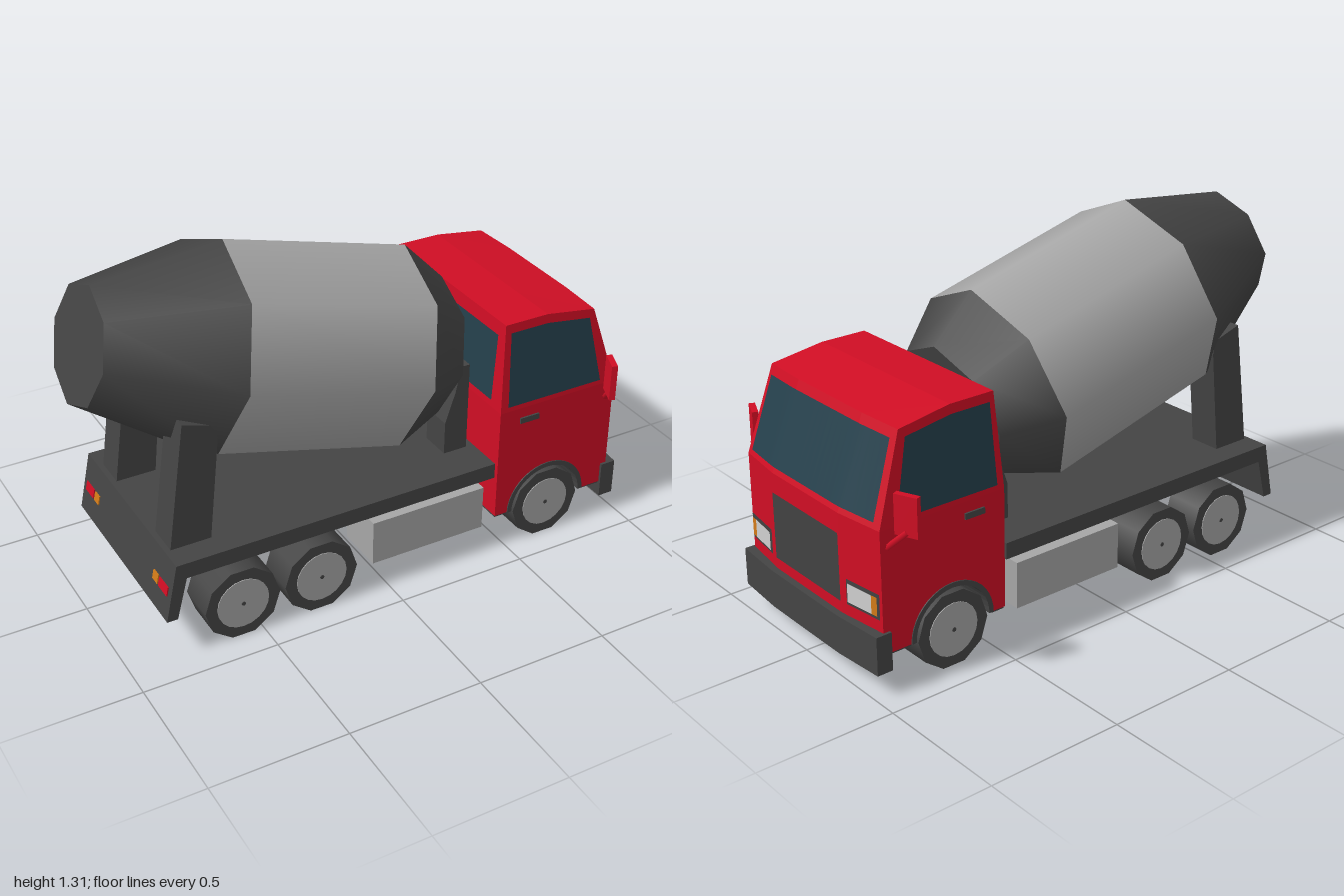
import * as THREE from 'three';

const mat = (name, color, side = THREE.FrontSide) => {
  const m = new THREE.MeshStandardMaterial({ color, side });
  m.name = name;
  return m;
};

export function createModel() {
  const red = mat('red paint', 0xd00e24);
  const dark = mat('dark grey', 0x444444);
  const silver = mat('silver', 0xa6a6a6);
  const glass = mat('glass', 0x25404c, THREE.DoubleSide);
  const trim = mat('dark trim', 0x424242, THREE.DoubleSide);
  const lamp = mat('lamp white', 0xcfcfcf, THREE.DoubleSide);
  const amber = mat('amber', 0xd27a18, THREE.DoubleSide);

  const truck = new THREE.Group();
  truck.name = 'mixerTruck';
  const add = (name, geo, material, parent = truck) => {
    const m = new THREE.Mesh(geo, material);
    m.name = name;
    parent.add(m);
    return m;
  };
  // Box given by its min and max on each axis
  const box = (name, material, x0, x1, y0, y1, z0, z1) =>
    add(name, new THREE.BoxGeometry(x1 - x0, y1 - y0, z1 - z0)
      .translate((x0 + x1) / 2, (y0 + y1) / 2, (z0 + z1) / 2), material);
  const shape = pts => new THREE.Shape(pts.map(p => new THREE.Vector2(...p)));
  // Side profile extruded across z
  const slab = (s, z0, z1, steps = 1) =>
    new THREE.ExtrudeGeometry(s, { depth: z1 - z0, steps, bevelEnabled: false, curveSegments: 10 }).translate(0, 0, z0);
  // Move every vertex by a rule and refresh the normals
  const warp = (geo, rule) => {
    const p = geo.attributes.position;
    const v = new THREE.Vector3();
    for (let i = 0; i < p.count; i++) {
      rule(v.fromBufferAttribute(p, i));
      p.setXYZ(i, v.x, v.y, v.z);
    }
    geo.computeVertexNormals();
    return geo;
  };

  // Cab surface rules: sides lean in above the waist, front corners sweep back
  const WAIST = 0.58, HALF = 0.39;
  const lean = y => 1 - Math.max(0, y - WAIST) / 0.34 * 0.07;
  const sweep = (z, y) => 0.025 * Math.max(0, Math.abs(z) / HALF - 0.5) * 2 * (1 - Math.max(0, y - WAIST) / 0.5);
  const frontX = (z, y) => 0.975 - Math.max(0, y - WAIST) / 0.31 * 0.115 - sweep(z, y);
  const cabRule = v => {
    if (v.x > 0.85) v.x -= sweep(v.z, v.y);
    v.z *= lean(v.y);
  };

  // Cab body with wheel arch
  const lower = new THREE.Shape();
  lower.moveTo(0.455, 0.14);
  lower.lineTo(0.51, 0.14);
  lower.absarc(0.675, 0.14, 0.16, Math.PI, 0, true);
  lower.lineTo(0.975, 0.14);
  lower.lineTo(0.975, WAIST);
  lower.lineTo(0.455, WAIST);
  add('cabLower', warp(slab(lower, -HALF, HALF, 4), cabRule), red);
  const upper = shape([[0.455, WAIST], [0.975, WAIST], [0.86, 0.89], [0.65, 0.92], [0.475, 0.92]]);
  add('cabUpper', warp(slab(upper, -HALF, HALF, 4), cabRule), red);

  // Plates following the cab front
  const frontPlate = (name, material, z0, z1, y0, y1, lift, taper = 1) => {
    const g = new THREE.PlaneGeometry(1, 1, 24, 1);
    add(name, warp(g, v => {
      const t = v.y + 0.5, y = y0 + t * (y1 - y0);
      const z = (z0 + (0.5 - v.x) * (z1 - z0)) * (1 + t * (taper - 1));
      v.set(frontX(z, y) + lift, y, z);
    }), material);
  };
  frontPlate('windshield', glass, -0.36, 0.36, 0.602, 0.86, 0.005, 0.955);
  frontPlate('grille', trim, -0.195, 0.195, 0.265, 0.51, 0.005);
  for (const s of [1, -1]) {
    const span = (a, b) => s > 0 ? [a, b] : [-b, -a];
    frontPlate('headlightFrame', trim, ...span(0.225, 0.382), 0.265, 0.357, 0.004);
    frontPlate('headlight', lamp, ...span(0.234, 0.347), 0.277, 0.345, 0.008);
    frontPlate('turnSignal', amber, ...span(0.347, 0.374), 0.277, 0.345, 0.008);
  }

  // Rear cab window
  add('rearWindow', warp(new THREE.PlaneGeometry(0.66, 0.26), v => {
    const y = v.y + 0.74;
    v.set(0.45 + (y - WAIST) / 0.34 * 0.02, y, v.x);
  }), glass);

  // Bumper with swept-back ends
  add('bumper', warp(slab(shape([[0.925, 0.08], [1, 0.08], [1, 0.22], [0.925, 0.22]]), -0.4, 0.4, 4),
    v => { if (v.x > 0.95) v.x -= sweep(v.z, 0) * 0.6; }), dark);

  // Cab sides: windows, handles, wheel arches, mirrors
  const sidePane = [[0.485, 0.6], [0.885, 0.6], [0.83, 0.862], [0.65, 0.888], [0.495, 0.888]];
  const arch = new THREE.Shape();
  arch.absarc(0.675, 0.14, 0.168, 0, Math.PI, false);
  arch.absarc(0.675, 0.14, 0.15, Math.PI, 0, true);
  for (const s of [1, -1]) {
    add('sideWindow', warp(new THREE.ShapeGeometry(shape(sidePane)),
      v => { v.z = s * (HALF * lean(v.y) + 0.004); }), glass);
    box('doorHandle', dark, 0.54, 0.62, 0.518, 0.54, s * 0.393 - 0.004, s * 0.393 + 0.004);
    add('wheelArch', slab(arch, s > 0 ? 0.2 : -0.394, s > 0 ? 0.394 : -0.2), dark);

    const mirror = add('mirror', new THREE.BoxGeometry(0.022, 0.14, 0.085), red);
    mirror.position.set(0.885, 0.64, s * 0.45);
    mirror.rotation.y = -s * 0.4;
    const from = new THREE.Vector3(0.92, 0.515, s * 0.385), to = new THREE.Vector3(0.89, 0.585, s * 0.455);
    const arm = add('mirrorArm', new THREE.CylinderGeometry(0.011, 0.011, from.distanceTo(to), 6), red);
    arm.position.copy(from).lerp(to, 0.5);
    arm.quaternion.setFromUnitVectors(new THREE.Vector3(0, 1, 0), to.clone().sub(from).normalize());
  }
  box('cabFloorFront', dark, 0.84, 0.94, 0.132, 0.142, -0.385, 0.385);
  box('cabFloorRear', dark, 0.457, 0.51, 0.132, 0.142, -0.385, 0.385);
  box('cabFloorMiddle', dark, 0.5, 0.86, 0.135, 0.3, -0.22, 0.22);

  // Chassis and bed
  box('chassis', dark, -0.655, 0.46, 0.16, 0.315, -0.16, 0.16);
  box('bed', dark, -0.81, 0.445, 0.312, 0.372, -0.387, 0.387);
  add('rearFlap', slab(shape([[-0.855, 0.155], [-0.815, 0.155], [-0.775, 0.312], [-0.775, 0.372], [-0.81, 0.372]]),
    -0.387, 0.387), dark);

  // Tail lights lying on the sloped flap
  for (const s of [1, -1]) {
    for (const [name, material, z, w] of [['tailLight', red, 0.325, 0.07], ['rearSignal', amber, 0.262, 0.04]]) {
      const light = add(name, new THREE.BoxGeometry(0.008, 0.035, w), material);
      light.position.set(-0.834, 0.258, s * z);
      light.rotation.z = -0.2;
    }
  }

  // Drum supports and side tanks
  const rearPost = shape([[-0.79, 0.37], [-0.64, 0.37], [-0.6, 0.76], [-0.61, 0.81], [-0.725, 0.845]]);
  const frontPost = shape([[0.32, 0.37], [0.415, 0.37], [0.415, 0.72], [0.38, 0.72], [0.36, 0.62], [0.32, 0.5]]);
  for (const s of [1, -1]) {
    const across = (a, b) => s > 0 ? [a, b] : [-b, -a];
    add('rearPost', slab(rearPost, ...across(0.17, 0.295)), dark);
    add('frontPost', slab(frontPost, ...across(0.12, 0.24)), dark);
    box('sideTank', silver, -0.06, 0.4, 0.11, 0.283, ...across(0.2, 0.387));
  }

  // Eight-sided tilted drum, its local y running toward the cab
  const drum = new THREE.Group();
  drum.name = 'drum';
  drum.position.set(-0.52, 0.94, 0);
  drum.rotation.z = -THREE.MathUtils.degToRad(105);
  truck.add(drum);
  const section = (name, y0, y1, r0, r1, material, open) =>
    add(name, new THREE.CylinderGeometry(r1, r0, y1 - y0, 8, 1, open).translate(0, (y0 + y1) / 2, 0), material, drum);
  section('drumRear', -0.44, 0, 0.212, 0.383, dark, false);
  section('drumBody', 0, 0.725, 0.383, 0.383, silver, true);
  section('drumFront', 0.725, 0.923, 0.383, 0.264, dark, false);

  // Wheels: ten-sided tyre, round rim, small hub
  for (const x of [-0.575, -0.27, 0.675]) {
    for (const s of [1, -1]) {
      const wheel = new THREE.Group();
      wheel.name = 'wheel';
      wheel.position.set(x, 0.135, s * 0.317);
      wheel.rotation.x = s * Math.PI / 2;
      truck.add(wheel);
      add('tyre', new THREE.CylinderGeometry(0.142, 0.142, 0.15, 10, 1, false, Math.PI / 10), dark, wheel);
      add('rim', new THREE.CylinderGeometry(0.098, 0.098, 0.006, 20).translate(0, 0.075, 0), silver, wheel);
      add('hub', new THREE.CylinderGeometry(0.008, 0.008, 0.006, 8).translate(0, 0.078, 0), dark, wheel);
    }
  }
  return truck;
}
